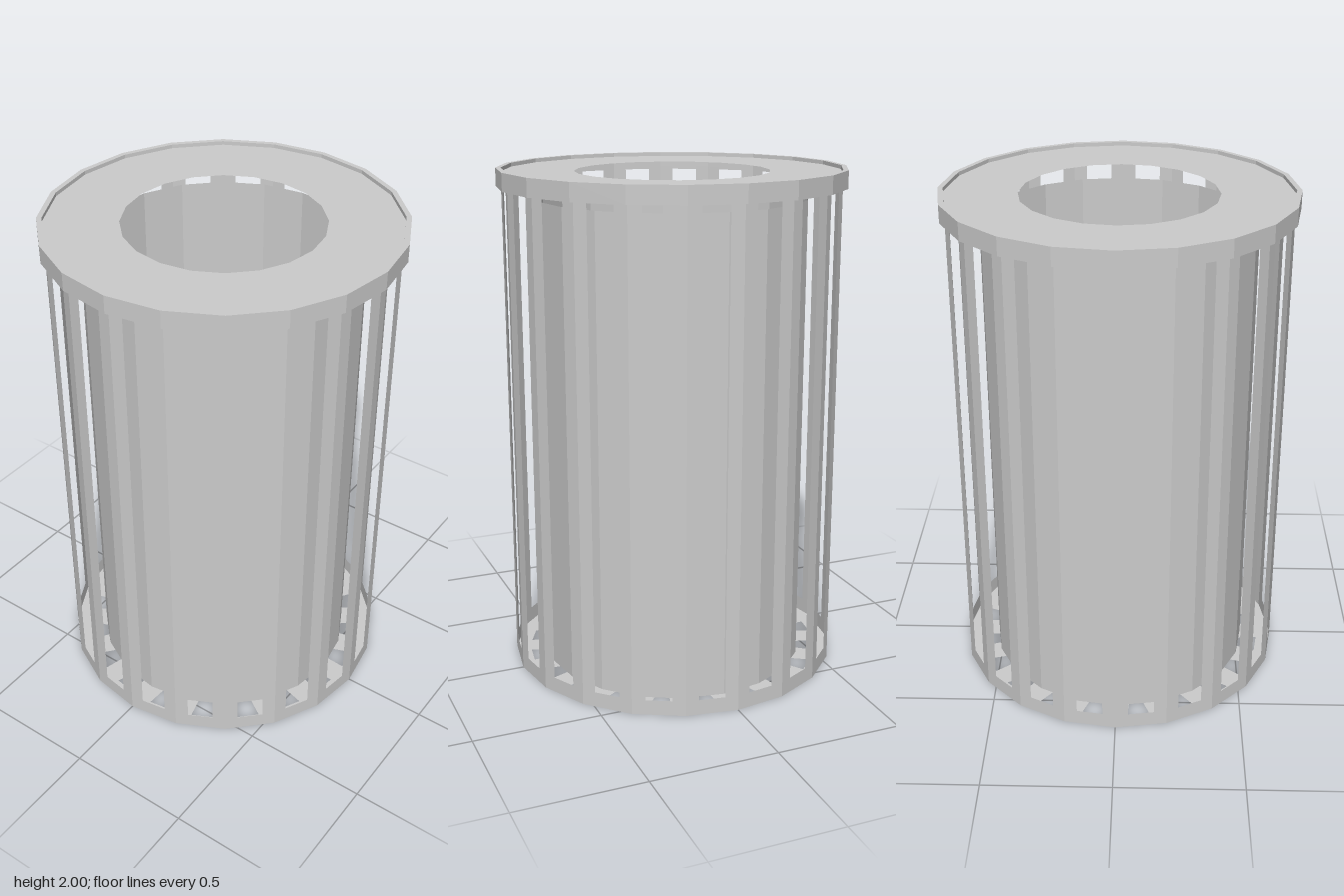
import * as THREE from 'three';
import { mergeGeometries } from 'three/addons/utils/BufferGeometryUtils.js';

const SIDES = 20;
const R = 0.66;
const material = new THREE.MeshStandardMaterial({
  color: 0xcccccc, flatShading: true, side: THREE.DoubleSide,
});

// Point on the 20-sided outline; t counts corners, fractions lie along the flat faces
function outline(t, r) {
  const i = Math.floor(t);
  const corner = (k) => {
    const a = (k / SIDES) * Math.PI * 2;
    return new THREE.Vector2(Math.sin(a) * r, Math.cos(a) * r);
  };
  return corner(i).lerp(corner(i + 1), t - i);
}

// Upright folded strip through outline points
function strip(points, y0, y1) {
  const pos = [], index = [];
  points.forEach((p, i) => {
    pos.push(p.x, y0, p.y, p.x, y1, p.y);
    if (i) {
      const a = 2 * i - 2;
      index.push(a, a + 2, a + 3, a, a + 3, a + 1);
    }
  });
  const g = new THREE.BufferGeometry();
  g.setAttribute('position', new THREE.Float32BufferAttribute(pos, 3));
  g.setIndex(index);
  g.computeVertexNormals();
  return g;
}

// Faceted surface of revolution from [radius, height] pairs
function ring(profile) {
  return new THREE.LatheGeometry(profile.map(([r, y]) => new THREE.Vector2(r, y)), SIDES);
}

export function createModel() {
  const group = new THREE.Group();
  const add = (name, geometry) => {
    const mesh = new THREE.Mesh(geometry, material);
    mesh.name = name;
    group.add(mesh);
    return mesh;
  };

  // Slats folded round each corner, leaving half of every face open
  const slats = [];
  for (let i = 0; i < SIDES; i++) {
    const points = [-0.25, 0, 0.25].map((d) => outline(i + d, R));
    slats.push(strip(points, 0.06, 1.94));
  }
  add('slats', mergeGeometries(slats));

  // Bands closing the slats at both ends
  add('lowerBand', ring([[R, 0], [R, 0.06]]));
  add('upperBand', ring([[R, 1.94], [R, 1.985]]));

  // Projecting rim and recessed lid with its opening
  add('rim', ring([[R, 1.93], [0.68, 1.93], [0.68, 2], [R, 2], [R, 1.93]]));
  add('lid', ring([[R, 1.985], [0.38, 1.985]]));

  // Inner bin standing inside the slats
  add('liner', ring([[0.53, 0.005], [0.53, 1.885]]));

  // Floor with wedge-shaped drain slots, one per face
  const floor = new THREE.Shape();
  floor.setFromPoints(Array.from({ length: SIDES }, (_, i) => outline(i, R)));
  for (let i = 0; i < SIDES; i++) {
    const wedge = [outline(i + 0.25, 0.605), outline(i + 0.75, 0.605), outline(i + 0.5, 0.385)];
    floor.holes.push(new THREE.Path().setFromPoints(wedge));
  }
  add('floor', new THREE.ShapeGeometry(floor).rotateX(Math.PI / 2));

  return group;
}
